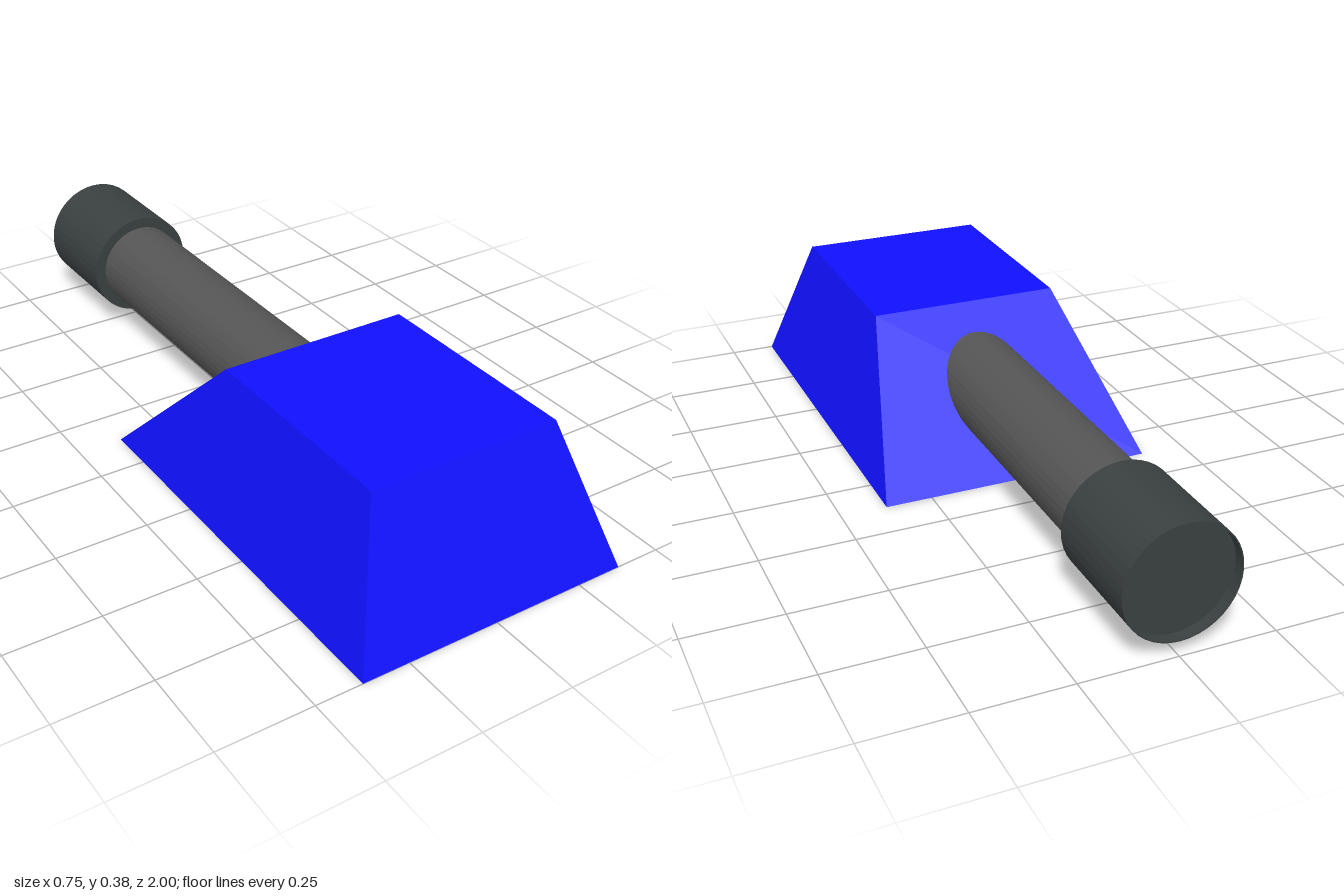
import * as THREE from 'three';
import { ConvexGeometry } from 'three/addons/geometries/ConvexGeometry.js';

const AXIS_Y = 0.19;
const SIDES = 40;

function material(color) {
  return new THREE.MeshStandardMaterial({ color, flatShading: true });
}

// Turned part along z, from [radius, z] profile points
function turned(name, profile, color) {
  const points = profile.map(([r, z]) => new THREE.Vector2(r, -z));
  const geometry = new THREE.LatheGeometry(points, SIDES);
  geometry.rotateX(-Math.PI / 2);
  geometry.translate(0, AXIS_Y, 0);
  const mesh = new THREE.Mesh(geometry, material(color));
  mesh.material.side = THREE.DoubleSide;
  mesh.name = name;
  return mesh;
}

export function createModel() {
  const group = new THREE.Group();
  group.name = 'turretWithBarrel';

  // Turret: tapered block with a long sloping back
  const corners = [];
  for (const side of [-1, 1]) {
    for (const [x, y, z] of [[0.376, 0, 1], [0.376, 0, -0.128], [0.263, 0.376, 0.85], [0.263, 0.376, 0.248]]) {
      corners.push(new THREE.Vector3(side * x, y, z));
    }
  }
  const turret = new THREE.Mesh(new ConvexGeometry(corners), material(0x1010ff));
  turret.name = 'turret';
  group.add(turret);

  // Barrel, its inner end sunk into the turret
  group.add(turned('barrel', [[0, 0.22], [0.12, 0.22], [0.12, -0.72]].reverse(), 0x555555));

  // Muzzle sleeve with a shallow recess in its end
  group.add(turned('muzzle', [
    [0, -0.97], [0.147, -0.97], [0.147, -1], [0.15, -1], [0.15, -0.7], [0, -0.7],
  ].reverse(), 0x3a4040));

  return group;
}
